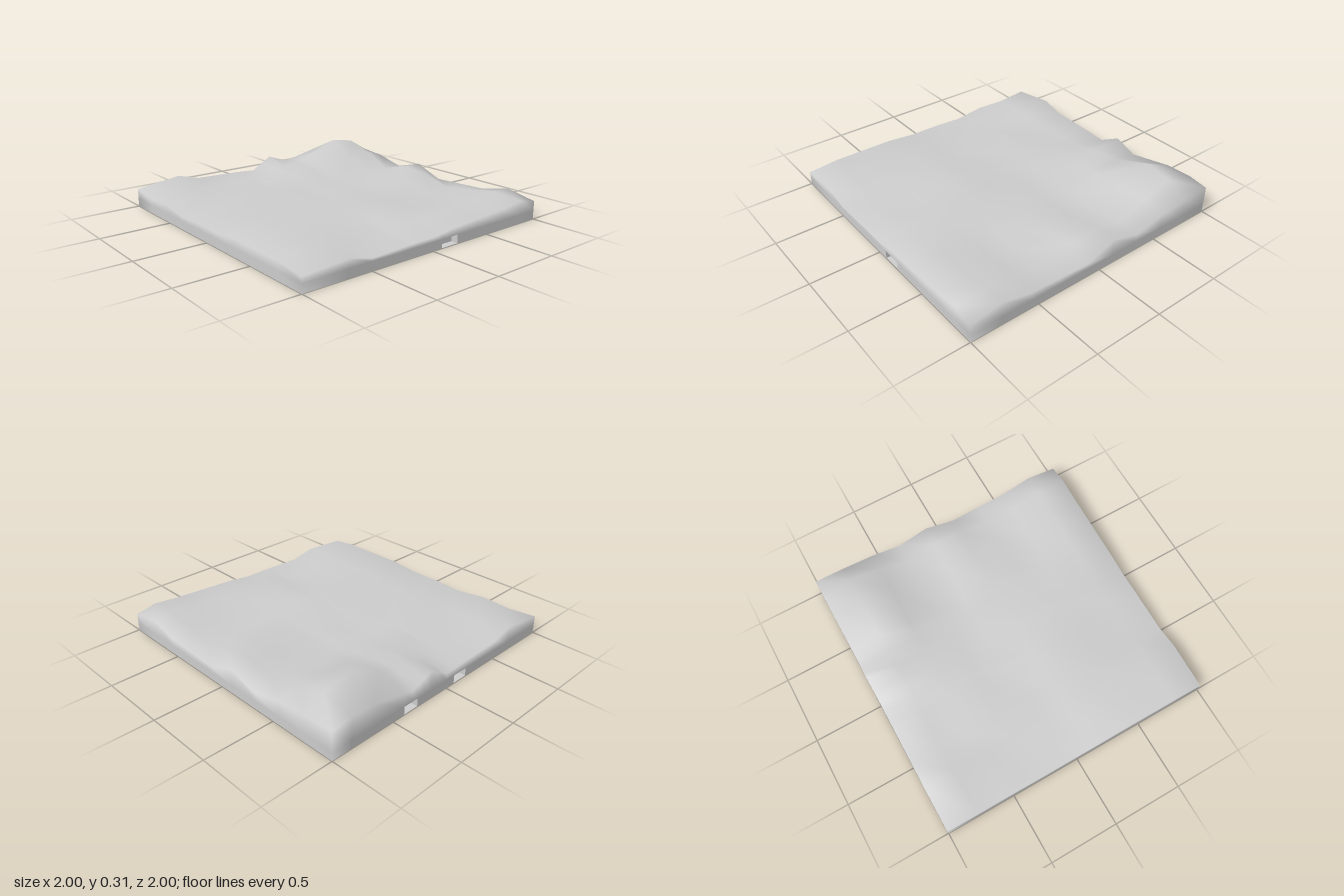
import * as THREE from 'three';

// Ground heights: one row per z (back to front), one column per x
const COLS = [-1, -0.67, -0.5, -0.17, 0, 0.16, 0.33, 0.66, 0.85, 1];
const HEIGHTS = [
  [0.13, 0.175, 0.13, 0.12, 0.11, 0.2, 0.14, 0.21, 0.22, 0.2],
  [0.11, 0.13, 0.11, 0.12, 0.14, 0.16, 0.19, 0.31, 0.28, 0.19],
  [0.12, 0.12, 0.11, 0.12, 0.14, 0.16, 0.16, 0.2, 0.22, 0.17],
  [0.09, 0.11, 0.13, 0.12, 0.11, 0.11, 0.11, 0.115, 0.125, 0.12],
  [0.1, 0.1, 0.1, 0.11, 0.11, 0.12, 0.12, 0.15, 0.185, 0.18],
  [0.1, 0.12, 0.12, 0.13, 0.13, 0.13, 0.13, 0.15, 0.165, 0.1],
  [0.12, 0.13, 0.13, 0.14, 0.14, 0.13, 0.12, 0.1, 0.11, 0.11],
  [0.12, 0.12, 0.11, 0.11, 0.13, 0.13, 0.12, 0.12, 0.14, 0.12],
  [0.12, 0.13, 0.09, 0.1, 0.12, 0.13, 0.14, 0.15, 0.175, 0.17],
  [0.1, 0.12, 0.08, 0.09, 0.09, 0.11, 0.12, 0.14, 0.16, 0.13],
];
const ROWS = HEIGHTS.length;
const NOTCH_TOP = 0.06;

// Small openings at the foot of the front and back walls
const NOTCHES = [
  { x0: 0.08, x1: 0.22, z: 1 },
  { x0: -0.2, x1: -0.08, z: -1 },
  { x0: 0.28, x1: 0.4, z: -1 },
];

function heightAt(x, row) {
  let i = 0;
  while (i < COLS.length - 2 && x > COLS[i + 1]) i++;
  const t = (x - COLS[i]) / (COLS[i + 1] - COLS[i]);
  return THREE.MathUtils.lerp(HEIGHTS[row][i], HEIGHTS[row][i + 1], t);
}

function terrainGeometry() {
  const xs = [...COLS, ...NOTCHES.flatMap((n) => [n.x0, n.x1])].sort((a, b) => a - b);
  const n = xs.length;
  const pos = [];
  const index = [];

  // Rolling top surface
  for (let j = 0; j < ROWS; j++) {
    for (const x of xs) pos.push(x, heightAt(x, j), -1 + (2 * j) / (ROWS - 1));
  }
  for (let j = 0; j < ROWS - 1; j++) {
    for (let i = 0; i < n - 1; i++) {
      const a = j * n + i;
      index.push(a, a + n, a + 1, a + 1, a + n, a + n + 1);
    }
  }

  // Rim of the surface, anticlockwise from above
  const rim = [];
  for (let i = 0; i < n - 1; i++) rim.push((ROWS - 1) * n + i);
  for (let j = ROWS - 1; j > 0; j--) rim.push(j * n + n - 1);
  for (let i = n - 1; i > 0; i--) rim.push(i);
  for (let j = 0; j < ROWS - 1; j++) rim.push(j * n);

  // Walls in two bands, sharing the rim so the top edge shades softly
  const mid = pos.length / 3;
  const low = mid + rim.length;
  for (const y of [NOTCH_TOP, 0]) {
    for (const r of rim) pos.push(pos[r * 3], y, pos[r * 3 + 2]);
  }
  const quad = (lt, rt, lb, rb) => index.push(lb, rb, lt, rb, rt, lt);
  rim.forEach((r, k) => {
    const m = (k + 1) % rim.length;
    quad(r, rim[m], mid + k, mid + m);
    const cx = (pos[r * 3] + pos[rim[m] * 3]) / 2;
    const cz = (pos[r * 3 + 2] + pos[rim[m] * 3 + 2]) / 2;
    const open = NOTCHES.some((o) => Math.abs(cz - o.z) < 1e-6 && cx > o.x0 && cx < o.x1);
    if (!open) quad(mid + k, mid + m, low + k, low + m);
  });

  const geo = new THREE.BufferGeometry();
  geo.setAttribute('position', new THREE.Float32BufferAttribute(pos, 3));
  geo.setIndex(index);
  geo.computeVertexNormals();
  return geo;
}

export function createModel() {
  const group = new THREE.Group();
  group.name = 'terrainTile';
  const material = new THREE.MeshStandardMaterial({ color: 0xcccccc });
  const add = (name, geo, mat = material) => {
    const mesh = new THREE.Mesh(geo, mat);
    mesh.name = name;
    group.add(mesh);
    return mesh;
  };

  add('ground', terrainGeometry());
  add('underside', new THREE.PlaneGeometry(2, 2).rotateX(Math.PI / 2));

  // Shallow pockets behind the openings, seen from inside
  const inside = new THREE.MeshStandardMaterial({ color: 0xcccccc, side: THREE.BackSide });
  const depth = 0.05;
  for (const o of NOTCHES) {
    const pocket = add('notch', new THREE.BoxGeometry(o.x1 - o.x0, NOTCH_TOP - 0.002, depth), inside);
    pocket.position.set((o.x0 + o.x1) / 2, NOTCH_TOP / 2 + 0.001, o.z * (1 - depth / 2));
  }
  return group;
}
